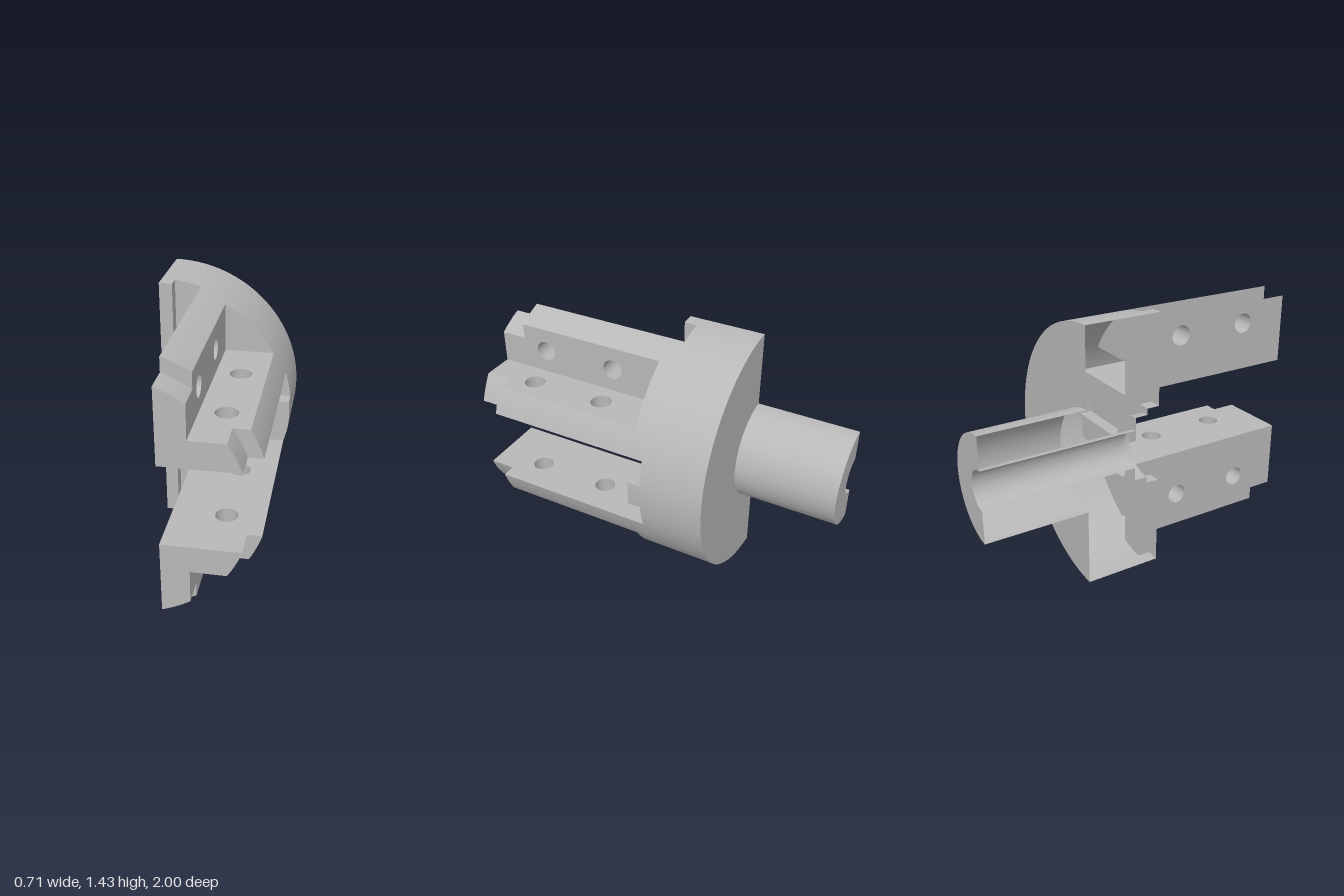
import * as THREE from 'three';
import { mergeGeometries, toCreasedNormals } from 'three/addons/utils/BufferGeometryUtils.js';

const R = 0.714;        // head radius
const R_TIP = 0.643;    // reduced radius at the arm tips
const FLOOR = -0.071;   // recessed front face of the head
const T = 0.071, A = 0.214, B = 0.357; // rib half width, arm inner side, arm notch side
const STEP = 0.857, END = 1;
const HOLE = 0.486, HOLE_R = 0.057, HOLE_Z = [0.286, 0.714];

const reach = (r, u) => Math.sqrt(r * r - u * u);

// Points on a circle about the main axis, between two angles
function arc(r, a0, a1, n = 24) {
  return Array.from({ length: n + 1 }, (_, i) => {
    const a = a0 + (a1 - a0) * i / n;
    return [r * Math.cos(a), r * Math.sin(a)];
  });
}

// Strip that carries a polyline from z0 to z1
function wall(points, z0, z1) {
  const pos = [], index = [];
  points.forEach(([x, y], i) => {
    pos.push(x, y, z0, x, y, z1);
    if (i) {
      const k = i * 2;
      index.push(k - 2, k, k - 1, k, k + 1, k - 1);
    }
  });
  const g = new THREE.BufferGeometry();
  g.setAttribute('position', new THREE.Float32BufferAttribute(pos, 3));
  g.setIndex(index);
  return g;
}

const outline = (points) => new THREE.Shape(points.map(([x, y]) => new THREE.Vector2(x, y)));
const cap = (points, z) => new THREE.ShapeGeometry(outline(points)).translate(0, 0, z);

function join(parts) {
  const plain = parts.map((p) => {
    const g = p.index ? p.toNonIndexed() : p.clone();
    g.deleteAttribute('uv');
    g.deleteAttribute('normal');
    return g;
  });
  return mergeGeometries(plain);
}

// Side plate of an arm leg at x = u, with two bolt holes
function legPlate(u, v0, z0) {
  const top = reach(R, u), tip = reach(R_TIP, u);
  const s = outline([[z0, v0], [END, v0], [END, tip], [STEP, tip], [STEP, top], [z0, top]]);
  for (const z of HOLE_Z) {
    s.holes.push(new THREE.Path().absarc(z, HOLE, HOLE_R, 0, Math.PI * 2, true));
  }
  return new THREE.ShapeGeometry(s, 16).rotateY(-Math.PI / 2).translate(u, 0, 0);
}

// One leg of the L-shaped arm
function legGeometry() {
  const outer = arc(R, Math.acos(A / R), Math.acos(B / R), 10);
  const tip = arc(R_TIP, Math.acos(A / R_TIP), Math.acos(B / R_TIP), 10);
  const parts = [
    legPlate(A, A, FLOOR),
    legPlate(B, B, 0),
    wall(outer, 0, STEP),
    wall(tip, STEP, END),
    cap([...outer, ...tip.slice().reverse()], STEP),
    cap([[A, A], [B, B], ...tip.slice().reverse()], END),
  ];
  for (const z of HOLE_Z) {
    parts.push(new THREE.CylinderGeometry(HOLE_R, HOLE_R, B - A, 32, 1, true)
      .rotateZ(Math.PI / 2).translate((A + B) / 2, HOLE, z));
  }
  return join(parts);
}

// Arm: two legs mirrored over the diagonal, on a sector-shaped foot
function armGeometry() {
  const leg = legGeometry();
  const swap = new THREE.Matrix4().set(0, 1, 0, 0, 1, 0, 0, 0, 0, 0, 1, 0, 0, 0, 0, 1);
  return join([
    leg,
    leg.clone().applyMatrix4(swap),
    wall(arc(R, Math.asin(A / R), Math.acos(A / R)), FLOOR, 0),
    cap([[B, B], ...arc(R, Math.asin(B / R), Math.acos(B / R))], 0),
  ]);
}

// Raised rib beside the cut plane
function uprightRibGeometry() {
  const end = arc(R, Math.acos(T / R), Math.PI / 2, 6);
  const edge = [[0, A], [T, A], ...end];
  return join([wall(edge, FLOOR, 0), cap(edge, 0)]);
}

// Raised rib running sideways to the rim
function crossRibGeometry() {
  const a = Math.asin(T / R);
  const edge = [[A, -T], ...arc(R, -a, a, 8), [A, T]];
  return join([wall([...edge, edge[0]], FLOOR, 0), cap(edge, 0)]);
}

// Recessed front face, left open under the ribs and arms
function floorGeometry() {
  const half = [
    [0, A], [T, A],
    ...arc(R, Math.acos(T / R), Math.acos(A / R), 8),
    [A, A],
    ...arc(R, Math.asin(A / R), Math.asin(T / R), 8),
    [A, T],
  ];
  const lower = half.map(([x, y]) => [x, -y]).reverse();
  return join([cap([...half, ...lower, ...arc(0.179, -Math.PI / 2, Math.PI / 2, 32)], FLOOR)]);
}

// Half-turned profile of head, shank, bore and counterbore
function bodyGeometry() {
  const profile = [
    [0.179, FLOOR], [0.179, -0.143], [0.107, -0.143], [0.107, -1],
    [0.286, -1], [0.286, -0.428], [R, -0.428], [R, FLOOR],
  ].map(([r, z]) => new THREE.Vector2(r, z));
  return join([new THREE.LatheGeometry(profile, 64, 0, Math.PI).rotateX(Math.PI / 2)]);
}

export function createModel() {
  const model = new THREE.Group();
  model.name = 'halfToolHolder';
  const metal = new THREE.MeshStandardMaterial({ color: 0xb8b8b8, side: THREE.DoubleSide });
  metal.name = 'grey metal';

  const add = (name, geometry) => {
    const mesh = new THREE.Mesh(toCreasedNormals(geometry, 0.5), metal);
    mesh.name = name;
    mesh.position.set(-0.357, R, 0);
    model.add(mesh);
  };

  add('headAndShank', bodyGeometry());
  add('headFrontFace', floorGeometry());
  add('crossRib', crossRibGeometry());
  for (const [side, s] of [['upper', 1], ['lower', -1]]) {
    add(side + 'Arm', armGeometry().scale(1, s, 1));
    add(side + 'Rib', uprightRibGeometry().scale(1, s, 1));
  }
  return model;
}
